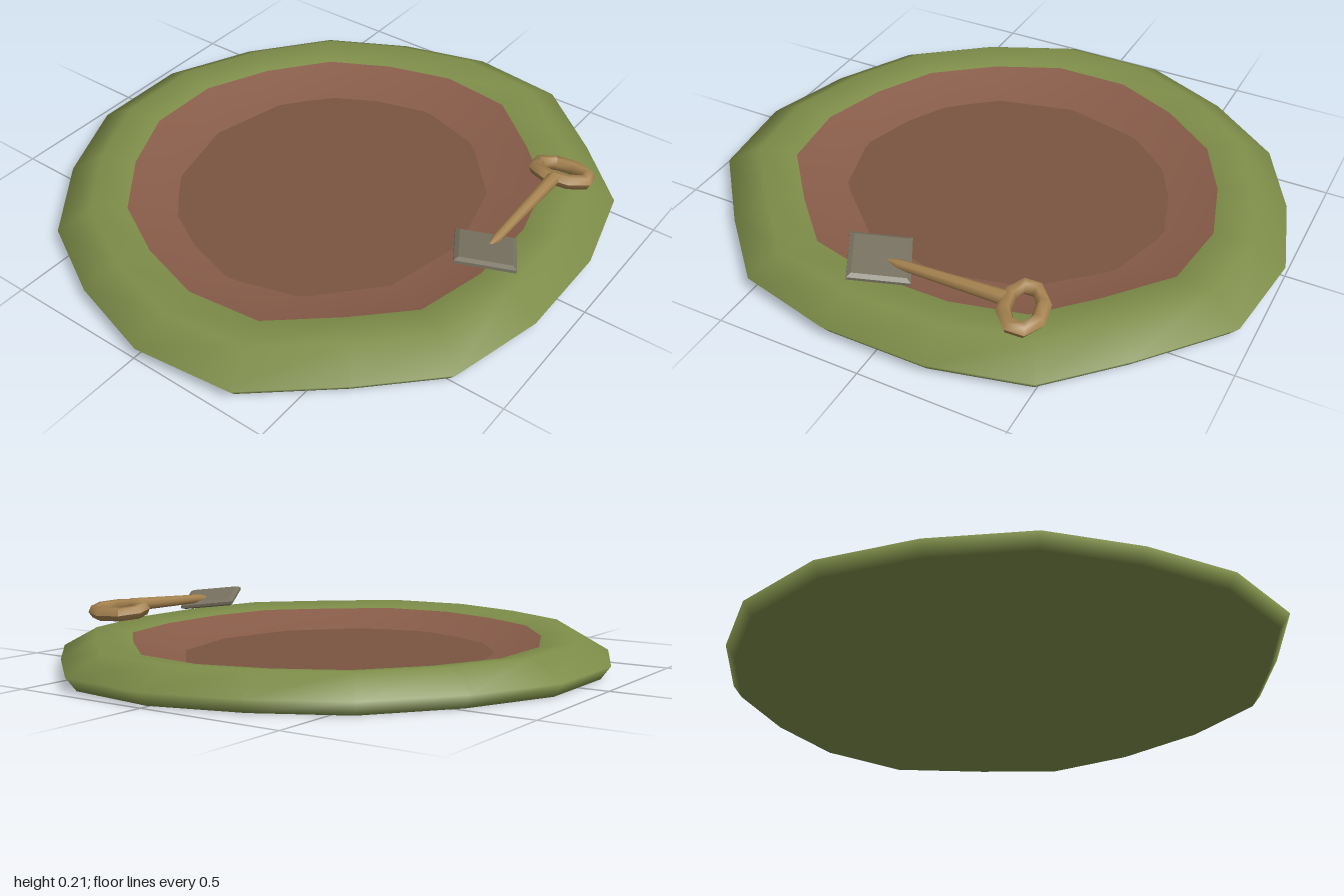
import * as THREE from 'three';

const mat = (name, color) => Object.assign(new THREE.MeshStandardMaterial({ color }), { name });

// Right half of the rim outline as [x, z], back to front
const HALF = [[0.18, -0.93], [0.49, -0.79], [0.76, -0.58], [0.91, -0.3], [1, 0.01],
  [0.96, 0.35], [0.73, 0.62], [0.51, 0.84], [0.18, 0.92]];

// Lofts scaled copies of the outline through a [scale, y] profile
function moundGeometry(profile, greenBands) {
  const outline = [...HALF, ...HALF.map(([x, z]) => [-x, z]).reverse()];
  const n = outline.length;
  const pos = [], idx = [];
  for (const [s, y] of profile) for (const [x, z] of outline) pos.push(x * s, y, z * s);
  for (let k = 0; k < profile.length - 1; k++) {
    for (let i = 0; i < n; i++) {
      const a = k * n + i, b = k * n + (i + 1) % n;
      idx.push(a, a + n, b, b, a + n, b + n);
    }
  }
  const g = new THREE.BufferGeometry();
  g.setAttribute('position', new THREE.Float32BufferAttribute(pos, 3));
  g.setIndex(idx);
  g.computeVertexNormals();
  const split = greenBands * n * 6;
  g.addGroup(0, split, 0);
  g.addGroup(split, idx.length - split, 1);
  return g;
}

// Octagonal torus squeezed into an oblong loop of even thickness
function gripGeometry() {
  const g = new THREE.TorusGeometry(0.093, 0.025, 6, 8);
  g.rotateZ(Math.PI / 8);
  const p = g.attributes.position;
  for (let i = 0; i < p.count; i++) {
    const a = Math.atan2(p.getY(i), p.getX(i));
    p.setX(i, p.getX(i) - 0.035 * Math.cos(a));
  }
  g.rotateX(-Math.PI / 2);
  g.computeVertexNormals();
  return g;
}

export function createModel() {
  const grass = mat('grass green', 0x7e8d49);
  const slope = mat('earth brown', 0x885c49);
  const soil = mat('dark soil', 0x7a5441);
  const wood = mat('wood', 0xa5824f);
  const metal = mat('grey metal', 0x76715f);

  const model = new THREE.Group();
  const add = (name, geo, material, parent = model) => {
    const m = new THREE.Mesh(geo, material);
    m.name = name;
    parent.add(m);
    return m;
  };

  // Grass rim, underside and sloping earth wall
  add('grassRimAndPit', moundGeometry([
    [0, 0], [0.965, 0], [1, 0.045], [0.88, 0.11], [0.75, 0.092],
    [0.56, 0.025], [0, 0.018],
  ], 4), [grass, slope]);

  // Flat pit floor
  const floorGeo = new THREE.CircleGeometry(1, 12);
  floorGeo.rotateX(-Math.PI / 2);
  floorGeo.scale(0.59, 1, 0.53);
  add('pitFloor', floorGeo, soil).position.y = 0.032;

  // Shovel lying on the front rim
  const shovel = new THREE.Group();
  shovel.name = 'shovel';
  model.add(shovel);

  // Blade: thin bevelled plate, turned then tilted
  const w = 0.085;
  const plate = new THREE.Shape([[-w, -w], [w, -w], [w, w], [-w, w]].map(([x, y]) => new THREE.Vector2(x, y)));
  const bladeGeo = new THREE.ExtrudeGeometry(plate, {
    depth: 0.01, bevelEnabled: true, bevelSize: 0.014, bevelThickness: 0.008, bevelSegments: 1,
  });
  bladeGeo.translate(0, 0, -0.005);
  bladeGeo.rotateX(-Math.PI / 2);
  bladeGeo.rotateY(0.51);
  bladeGeo.rotateZ(-0.2);
  add('blade', bladeGeo, metal, shovel).position.set(-0.105, 0.166, 0.683);

  // Shaft, tapering to a point over the blade
  const shaftGeo = new THREE.LatheGeometry(
    [[0, -0.22], [0.016, -0.15], [0.024, 0.22], [0, 0.22]].map(([r, y]) => new THREE.Vector2(r, y)), 8);
  shaftGeo.rotateZ(-Math.PI / 2 + 0.035);
  add('shaft', shaftGeo, wood, shovel).position.set(0.115, 0.174, 0.683);

  // Loop grip
  const grip = add('grip', gripGeometry(), wood, shovel);
  grip.position.set(0.393, 0.169, 0.683);
  grip.rotation.set(0, 0.2, -0.17, 'ZYX');

  return model;
}
